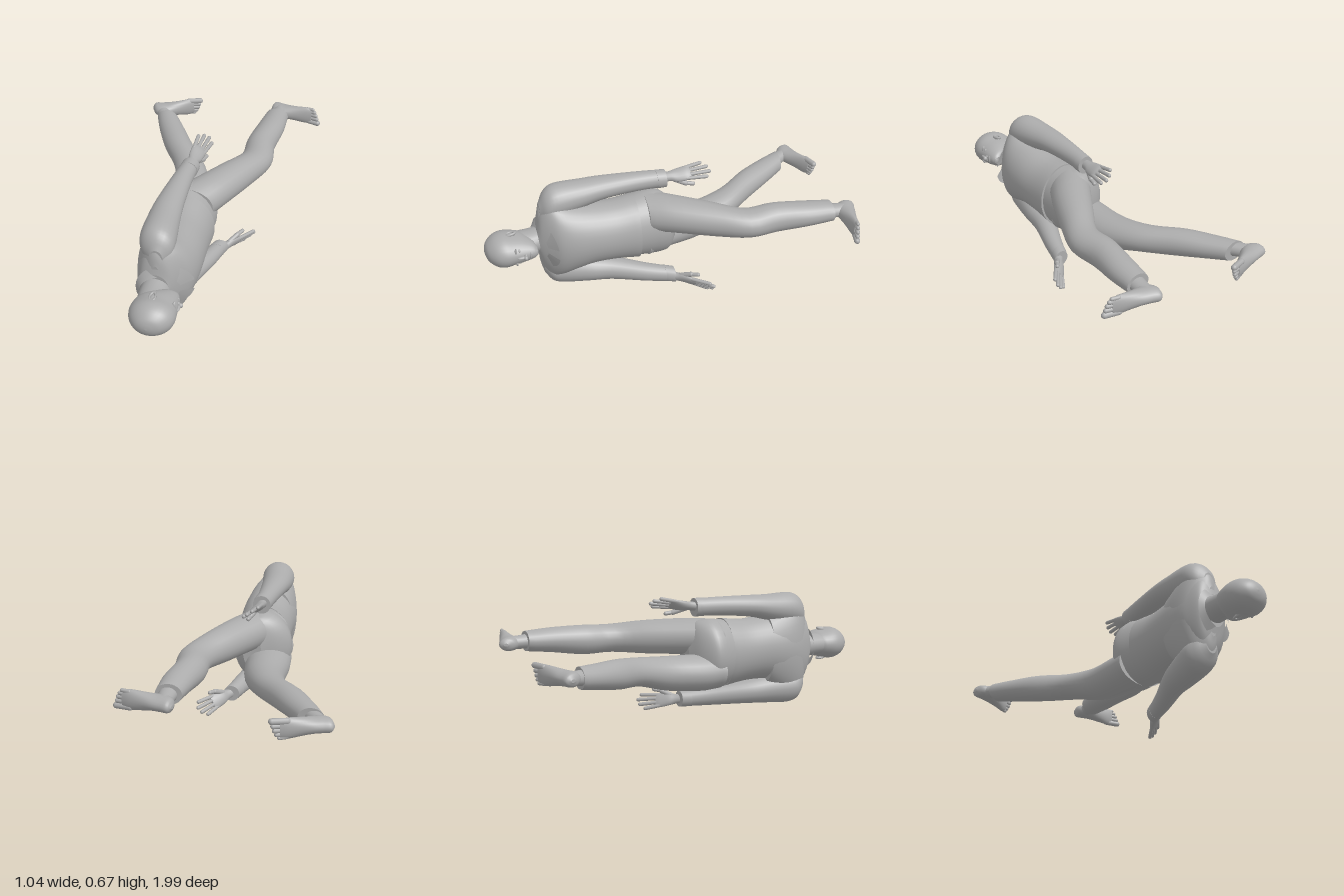
import * as THREE from 'three';

const grey = new THREE.MeshStandardMaterial({ color: 0xacacac });
grey.name = 'grey';
const greyOpen = grey.clone();
greyOpen.side = THREE.DoubleSide;

// Smooth skin through elliptical sections [x, y, z, rx, ry], listed by rising z
function loft(sections, seg = 24, sub = 4) {
  const centre = new THREE.CatmullRomCurve3(sections.map(s => new THREE.Vector3(s[0], s[1], s[2])), false, 'catmullrom', 0.5);
  const radius = new THREE.CatmullRomCurve3(sections.map(s => new THREE.Vector3(s[3], s[4], 0)), false, 'catmullrom', 0.5);
  const rows = (sections.length - 1) * sub, pos = [], index = [];
  const ring = (t) => {
    const c = centre.getPoint(t), r = radius.getPoint(t);
    for (let j = 0; j < seg; j++) {
      const a = j / seg * Math.PI * 2;
      pos.push(c.x + Math.max(r.x, 0.0005) * Math.cos(a), c.y + Math.max(r.y, 0.0005) * Math.sin(a), c.z);
    }
  };
  for (let i = 0; i <= rows; i++) ring(i / rows);
  for (let i = 0; i < rows; i++) for (let j = 0; j < seg; j++) {
    const k = (j + 1) % seg, a = i * seg + j, b = i * seg + k;
    index.push(a, b, b + seg, a, b + seg, a + seg);
  }
  // flat ends with their own vertices keep hems crisp
  for (const end of [0, 1]) {
    const base = pos.length / 3;
    ring(end);
    const c = centre.getPoint(end);
    pos.push(c.x, c.y, c.z);
    for (let j = 0; j < seg; j++) {
      const k = (j + 1) % seg;
      index.push(base + seg, base + (end ? j : k), base + (end ? k : j));
    }
  }
  const g = new THREE.BufferGeometry();
  g.setAttribute('position', new THREE.Float32BufferAttribute(pos, 3));
  g.setIndex(index);
  g.computeVertexNormals();
  return g;
}

function add(parent, name, geometry, material = grey) {
  const m = new THREE.Mesh(geometry, material);
  m.name = name;
  parent.add(m);
  return m;
}

function ball(parent, name, p, s) {
  const m = add(parent, name, new THREE.SphereGeometry(1, 16, 12));
  m.position.set(...p);
  m.scale.set(...s);
  return m;
}

// Rounded rod between two points, for fingers and toes
function rod(parent, name, a, b, r) {
  const p = new THREE.Vector3(...a), q = new THREE.Vector3(...b), d = q.clone().sub(p);
  const m = add(parent, name, new THREE.CapsuleGeometry(r, d.length(), 4, 10));
  m.position.copy(p).add(q).multiplyScalar(0.5);
  m.quaternion.setFromUnitVectors(new THREE.Vector3(0, 1, 0), d.normalize());
}

// Group whose z runs along dir and whose x lies close to side
function limbEnd(parent, name, origin, dir, side) {
  const g = new THREE.Group();
  const z = new THREE.Vector3(...dir).normalize();
  const y = z.clone().cross(new THREE.Vector3(...side)).normalize();
  g.quaternion.setFromRotationMatrix(new THREE.Matrix4().makeBasis(y.clone().cross(z), y, z));
  g.position.set(...origin);
  g.name = name;
  parent.add(g);
  return g;
}

// Hand: fingers along +z, thumb on +x, palm facing the given side of y
function hand(parent, name, origin, dir, side, palm) {
  const g = limbEnd(parent, name, origin, dir, side);
  add(g, 'palm', loft([[0, 0, -0.04, 0.028, 0.024], [0, 0, 0.01, 0.028, 0.022], [0.002, palm * 0.003, 0.05, 0.039, 0.021],
    [0, 0, 0.1, 0.042, 0.016], [0, 0, 0.125, 0.034, 0.009]], 16));
  [[-0.031, 0.175], [-0.011, 0.205], [0.011, 0.215], [0.031, 0.195]].forEach(([x, tip]) => {
    rod(g, 'finger', [x, 0, 0.1], [x * 1.35, 0, tip + 0.01], 0.0105);
  });
  rod(g, 'thumb', [0.022, palm * 0.008, 0.035], [0.05, palm * 0.02, 0.09], 0.014);
  rod(g, 'thumbTip', [0.05, palm * 0.02, 0.09], [0.058, palm * 0.026, 0.128], 0.011);
}

// Foot: toes along +z, sole on y = 0, big toe on the given side
function foot(parent, name, origin, dir, big) {
  const g = limbEnd(parent, name, origin, dir, [0, 1, 0]);
  add(g, 'footBody', loft([[0, 0.035, -0.004, 0.008, 0.012], [0, 0.043, 0.012, 0.032, 0.042], [0, 0.055, 0.05, 0.038, 0.055],
    [0, 0.051, 0.09, 0.039, 0.051], [0, 0.038, 0.15, 0.046, 0.036], [0, 0.024, 0.215, 0.053, 0.023],
    [0, 0.017, 0.25, 0.046, 0.014]], 20));
  [[0.038, 0.288, 0.016], [0.014, 0.282, 0.012], [-0.007, 0.275, 0.0115], [-0.026, 0.265, 0.011], [-0.042, 0.253, 0.01]]
    .forEach(([x, tip, r]) => rod(g, 'toe', [big * x, 0.019, 0.215], [big * x * 1.05, 0.015, tip], r));
}

export function createModel() {
  const model = new THREE.Group();
  model.name = 'recliningFigure';

  // Head
  const head = new THREE.Group();
  head.name = 'head';
  model.add(head);
  const Y = 0.349;
  add(head, 'skull', loft([[0.015, Y, 0.73, 0.026, 0.024], [-0.01, Y, 0.75, 0.062, 0.047], [-0.042, Y, 0.8, 0.102, 0.07],
    [-0.05, Y, 0.85, 0.114, 0.081], [-0.05, Y, 0.9, 0.116, 0.091], [-0.05, Y, 0.945, 0.101, 0.081],
    [-0.052, Y, 0.98, 0.068, 0.054], [-0.055, Y, 0.995, 0.033, 0.027], [-0.055, Y, 1.0, 0.001, 0.001]], 32));
  ball(head, 'chin', [0.029, Y, 0.742], [0.018, 0.025, 0.016]);
  ball(head, 'noseBridge', [0.06, Y, 0.818], [0.011, 0.009, 0.028]);
  ball(head, 'noseTip', [0.067, Y, 0.799], [0.014, 0.013, 0.011]);
  ball(head, 'upperLip', [0.051, Y, 0.773], [0.009, 0.023, 0.005]);
  ball(head, 'lowerLip', [0.047, Y, 0.764], [0.009, 0.019, 0.006]);
  for (const s of [-1, 1]) {
    ball(head, 'nostril', [0.057, Y + s * 0.011, 0.797], [0.008, 0.008, 0.008]);
    ball(head, 'eye', [0.043, Y + s * 0.032, 0.828], [0.01, 0.014, 0.007]);
    ball(head, 'brow', [0.046, Y + s * 0.032, 0.848], [0.012, 0.024, 0.007]).rotation.x = -s * 0.15;
    const ear = add(head, 'ear', new THREE.TorusGeometry(0.02, 0.007, 8, 18));
    ear.position.set(-0.055, Y + s * 0.084, 0.855);
    ear.rotation.set(Math.PI / 2 + s * 0.15, 0.15, 0);
    ear.scale.set(0.75, 1.3, 1);
    ball(head, 'earBowl', [-0.052, Y + s * 0.08, 0.853], [0.015, 0.007, 0.024]);
  }
  add(model, 'neck', loft([[-0.08, 0.35, 0.64, 0.075, 0.075], [-0.08, 0.35, 0.7, 0.073, 0.068],
    [-0.078, 0.35, 0.76, 0.075, 0.062], [-0.072, 0.35, 0.83, 0.078, 0.062]]));

  // Shirt body, shoulder yoke and open collar
  add(model, 'shirt', loft([[-0.052, 0.345, 0.175, 0.154, 0.19], [-0.05, 0.348, 0.3, 0.149, 0.174], [-0.05, 0.355, 0.42, 0.152, 0.178],
    [-0.055, 0.352, 0.52, 0.153, 0.2], [-0.062, 0.35, 0.6, 0.142, 0.23], [-0.072, 0.35, 0.65, 0.118, 0.235],
    [-0.08, 0.35, 0.69, 0.092, 0.18], [-0.08, 0.35, 0.712, 0.07, 0.09]], 36));
  add(model, 'shoulderYoke', loft([[-0.1, 0.352, 0.44, 0.095, 0.185], [-0.1, 0.35, 0.54, 0.106, 0.245], [-0.096, 0.35, 0.61, 0.105, 0.28],
    [-0.09, 0.35, 0.655, 0.09, 0.27], [-0.085, 0.35, 0.692, 0.055, 0.205], [-0.082, 0.35, 0.705, 0.03, 0.14]], 36));
  const collar = new THREE.PlaneGeometry(1, 1, 40, 4), cp = collar.attributes.position;
  for (let i = 0; i < cp.count; i++) {
    const v = 0.5 - cp.getY(i), a = 0.22 + (cp.getX(i) + 0.5) * (Math.PI * 2 - 0.44);
    const front = Math.pow((1 + Math.cos(a)) / 2, 1.5);
    cp.setXYZ(i, -0.078 + Math.cos(a) * (0.08 + 0.025 * v) + front * (0.035 + 0.04 * v),
      0.345 + Math.sin(a) * (0.08 + 0.055 * v), 0.732 - front * 0.06 - v * (0.02 + 0.028 * front));
  }
  collar.computeVertexNormals();
  add(model, 'collar', collar, greyOpen);

  // Sleeves, cuffs and hands
  add(model, 'leftSleeve', loft([[-0.07, 0.605, 0, 0.046, 0.048], [-0.085, 0.605, 0.15, 0.055, 0.052], [-0.098, 0.598, 0.33, 0.072, 0.06],
    [-0.1, 0.584, 0.45, 0.083, 0.074], [-0.094, 0.57, 0.59, 0.092, 0.092], [-0.088, 0.55, 0.65, 0.078, 0.085],
    [-0.082, 0.525, 0.688, 0.035, 0.05]]));
  add(model, 'rightSleeve', loft([[0.098, 0.072, 0, 0.042, 0.043], [0.045, 0.085, 0.15, 0.055, 0.053], [-0.03, 0.104, 0.33, 0.073, 0.066],
    [-0.06, 0.115, 0.45, 0.085, 0.079], [-0.094, 0.127, 0.59, 0.092, 0.092], [-0.088, 0.15, 0.65, 0.078, 0.085],
    [-0.082, 0.175, 0.688, 0.035, 0.05]]));
  add(model, 'leftCuff', loft([[-0.068, 0.605, -0.004, 0.048, 0.05], [-0.072, 0.605, 0.045, 0.05, 0.051]]));
  add(model, 'rightCuff', loft([[0.1, 0.072, -0.004, 0.044, 0.045], [0.082, 0.076, 0.045, 0.047, 0.047]]));
  hand(model, 'leftHand', [-0.067, 0.612, -0.02], [0.035, 0.03, -0.23], [1, -0.7, 0], 1);
  hand(model, 'rightHand', [0.118, 0.07, -0.005], [0.128, -0.025, -0.18], [0.6, 0.75, 0], -1);

  // Trousers
  add(model, 'trouserSeat', loft([[-0.02, 0.345, -0.035, 0.05, 0.1], [-0.04, 0.345, 0, 0.115, 0.168], [-0.063, 0.345, 0.05, 0.152, 0.19],
    [-0.068, 0.345, 0.1, 0.158, 0.192], [-0.055, 0.345, 0.2, 0.145, 0.18]], 32));
  add(model, 'leftTrouserLeg', loft([[0.265, 0.438, -0.84, 0.066, 0.054], [0.25, 0.437, -0.7, 0.078, 0.067], [0.222, 0.43, -0.53, 0.082, 0.08],
    [0.222, 0.428, -0.37, 0.09, 0.077], [0.135, 0.433, -0.2, 0.108, 0.092], [0.02, 0.437, 0, 0.128, 0.1],
    [-0.06, 0.43, 0.12, 0.14, 0.105]]));
  add(model, 'rightTrouserLeg', loft([[-0.408, 0.345, -0.815, 0.066, 0.055], [-0.35, 0.333, -0.7, 0.081, 0.064], [-0.268, 0.318, -0.55, 0.09, 0.076],
    [-0.165, 0.3, -0.39, 0.094, 0.075], [-0.11, 0.267, -0.2, 0.107, 0.092], [-0.1, 0.254, 0, 0.125, 0.1],
    [-0.075, 0.26, 0.12, 0.148, 0.105]]));

  // Ankles and bare feet
  add(model, 'leftAnkle', loft([[0.272, 0.432, -0.93, 0.036, 0.036], [0.27, 0.434, -0.875, 0.042, 0.036], [0.265, 0.438, -0.8, 0.048, 0.042]]));
  add(model, 'rightAnkle', loft([[-0.46, 0.356, -0.89, 0.036, 0.036], [-0.442, 0.352, -0.85, 0.044, 0.036], [-0.4, 0.345, -0.77, 0.048, 0.042]]));
  foot(model, 'leftFoot', [0.236, 0.43, -0.992], [0.95, 0, 0.31], -1);
  foot(model, 'rightFoot', [-0.525, 0.356, -0.928], [0.97, 0, -0.21], 1);
  return model;
}
